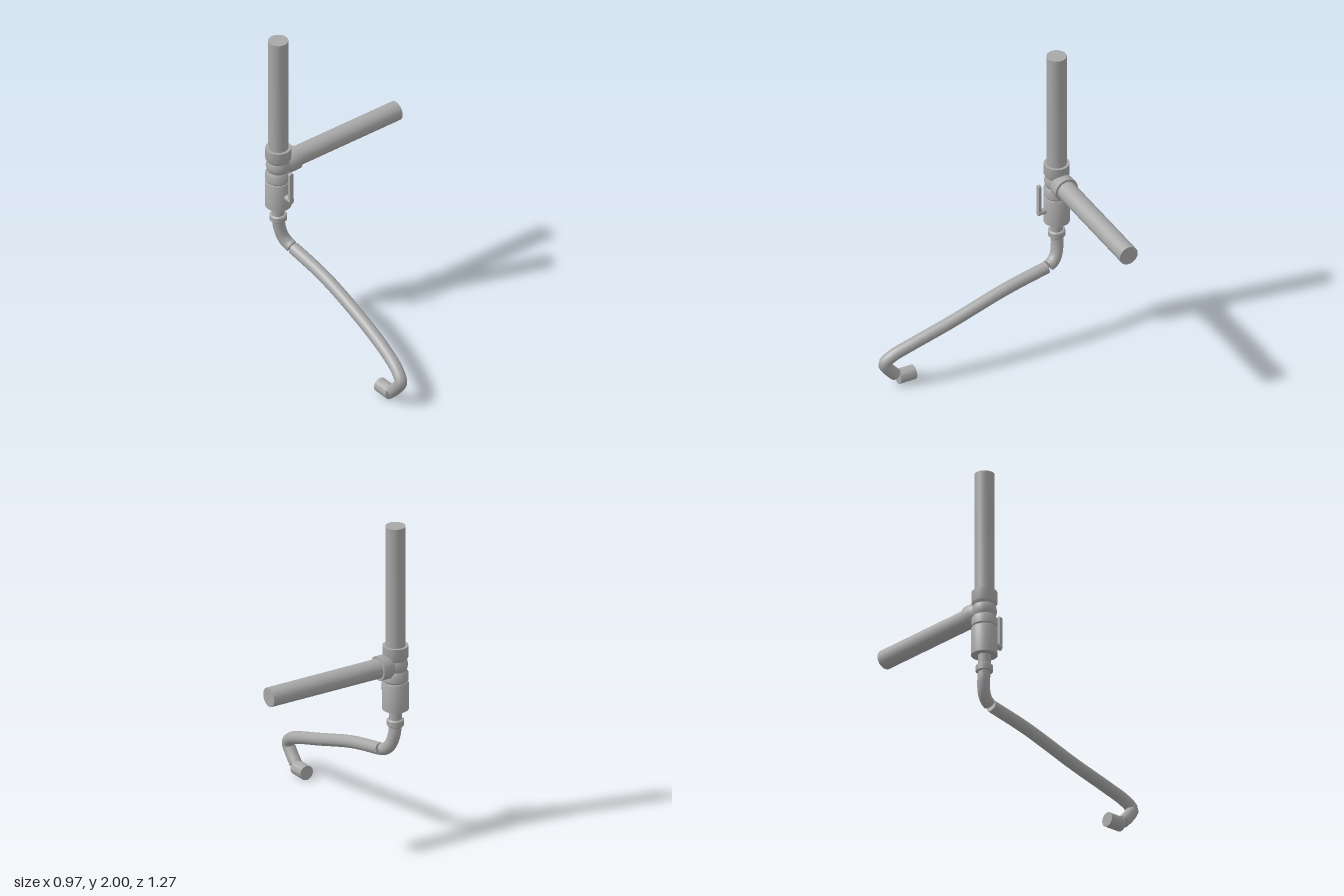
import * as THREE from 'three';
import { toCreasedNormals } from 'three/addons/utils/BufferGeometryUtils.js';

const AXIS_X = -0.41, AXIS_Z = -0.56, BRANCH_Y = 1.107;

export function createModel() {
  const model = new THREE.Group();
  model.name = 'pipeValve';
  const metal = new THREE.MeshStandardMaterial({ color: 0xa8a8a8 });
  metal.name = 'grey metal';

  const add = (name, geometry, x = 0, y = 0, z = 0) => {
    const mesh = new THREE.Mesh(geometry, metal);
    mesh.name = name;
    mesh.position.set(x, y, z);
    model.add(mesh);
    return mesh;
  };

  // Closed turned part from [radius, height] pairs, bottom to top
  const turned = (pairs) => {
    const pts = [[0, pairs[0][1]], ...pairs, [0, pairs[pairs.length - 1][1]]];
    const lathe = new THREE.LatheGeometry(pts.map(([r, h]) => new THREE.Vector2(r, h)), 28);
    return toCreasedNormals(lathe, 0.6);
  };

  // Curved pipe with flat discs closing both ends
  const hose = (name, points, radius, segments) => {
    const curve = new THREE.CatmullRomCurve3(points.map((p) => new THREE.Vector3(...p)));
    add(name, new THREE.TubeGeometry(curve, segments, radius, 20));
    [0, 1].forEach((t) => {
      const dir = curve.getTangentAt(t).multiplyScalar(t ? 1 : -1);
      const cap = add(name + 'End', new THREE.CircleGeometry(radius, 20));
      cap.position.copy(curve.getPointAt(t));
      cap.quaternion.setFromUnitVectors(new THREE.Vector3(0, 0, 1), dir);
    });
  };

  // Straight pipes
  add('verticalPipe', turned([[0.06, 1.18], [0.06, 2]]), AXIS_X, 0, AXIS_Z);
  const branch = add('branchPipe', turned([[0.06, 0.08], [0.06, 0.895]]), AXIS_X, BRANCH_Y, AXIS_Z);
  branch.rotation.z = -Math.PI / 2;

  // Tee fitting: ribbed body and side socket
  add('teeBody', turned([
    [0.07, 1.0], [0.077, 1.01], [0.077, 1.055], [0.066, 1.073], [0.071, 1.085], [0.075, BRANCH_Y],
    [0.071, 1.129], [0.066, 1.142], [0.077, 1.158], [0.077, 1.23],
  ]), AXIS_X, 0, AXIS_Z);
  const socket = add('teeSocket', turned([[0.06, 0], [0.06, 0.035], [0.075, 0.062], [0.075, 0.125]]),
    AXIS_X, BRANCH_Y, AXIS_Z);
  socket.rotation.z = -Math.PI / 2;

  // Valve body, outlet and hose collar
  add('valveBody', turned([[0.079, 0.82], [0.079, 0.99], [0.074, 1.0]]), AXIS_X, 0, AXIS_Z);
  add('valveOutlet', turned([[0.038, 0.7], [0.038, 0.83]]), AXIS_X, 0, AXIS_Z);
  add('hoseCollar', turned([[0.046, 0.71], [0.052, 0.716], [0.052, 0.749], [0.046, 0.755]]), AXIS_X, 0, AXIS_Z);

  // Lever handle with rounded ends, on a short stem
  const stem = add('handleStem', new THREE.CylinderGeometry(0.019, 0.019, 0.07, 16), AXIS_X, 0.911, -0.468);
  stem.rotation.x = Math.PI / 2;
  const lever = new THREE.Shape();
  lever.absarc(0, 0.905, 0.015, Math.PI, Math.PI * 2);
  lever.absarc(0, 1.092, 0.015, 0, Math.PI);
  add('handleLever', new THREE.ExtrudeGeometry(lever, { depth: 0.018, bevelEnabled: false, curveSegments: 8 }),
    AXIS_X, 0, -0.45);

  // Elbow, long hose and nozzle
  hose('elbow', [
    [-0.41, 0.72, -0.56], [-0.402, 0.655, -0.559], [-0.388, 0.59, -0.543],
    [-0.376, 0.555, -0.515], [-0.369, 0.54, -0.486],
  ], 0.038, 24);
  hose('longHose', [
    [-0.366, 0.535, -0.468], [-0.357, 0.475, -0.18], [-0.36, 0.355, 0.19], [-0.378, 0.272, 0.43],
    [-0.396, 0.218, 0.55], [-0.408, 0.168, 0.6], [-0.411, 0.122, 0.574], [-0.412, 0.066, 0.525],
  ], 0.038, 64);
  const nozzle = add('nozzle', turned([[0.045, -0.054], [0.045, 0.054]]), AXIS_X, 0.045, 0.456);
  nozzle.rotation.x = Math.PI / 2;

  return model;
}
